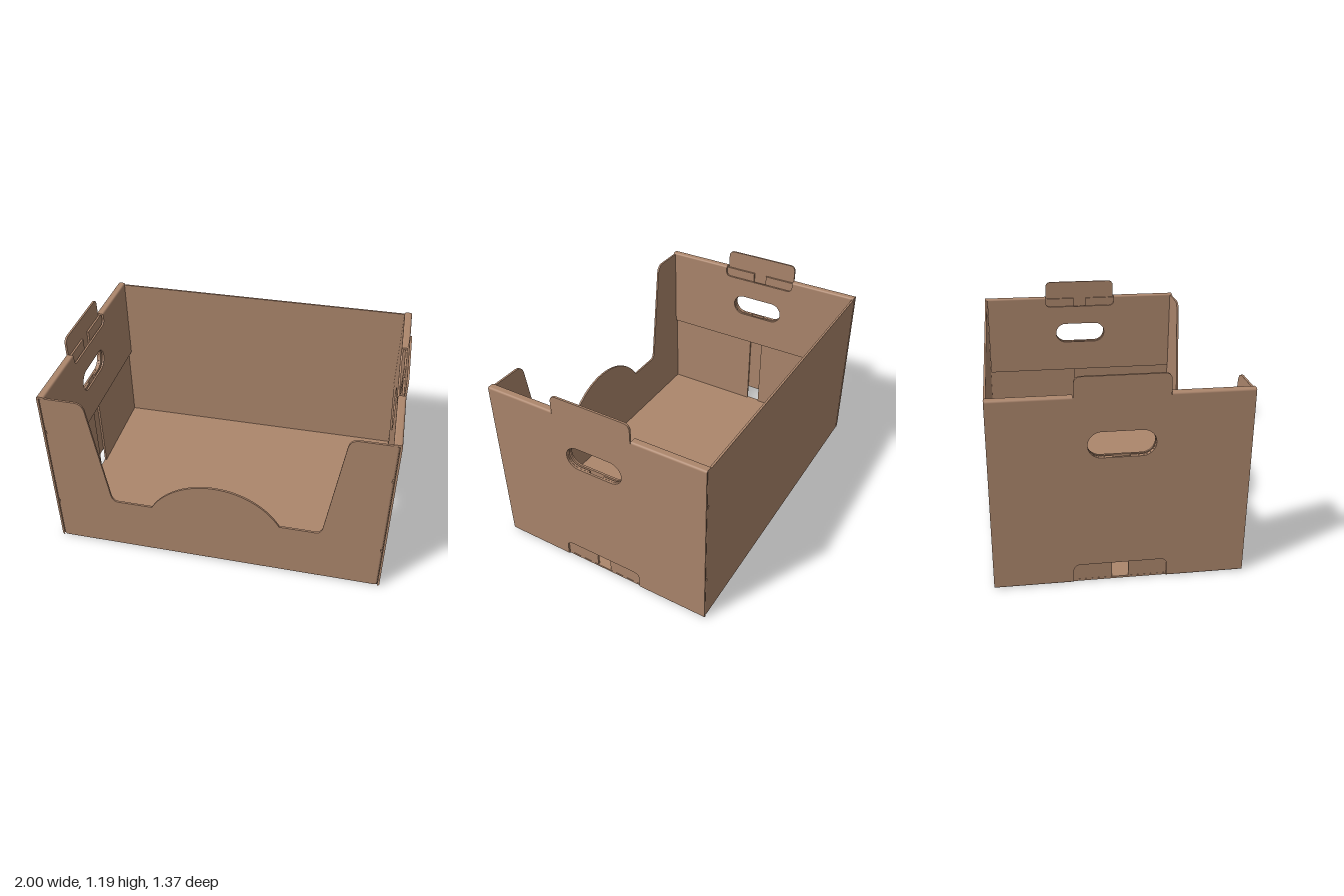
import * as THREE from 'three';

const T = 0.012;              // board thickness
const Q = Math.PI / 2;
const card = new THREE.MeshStandardMaterial({ color: 0xac866c });
card.name = 'brown cardboard';

function add(group, name, geometry, x = 0, y = 0, z = 0) {
  const mesh = new THREE.Mesh(geometry, card);
  mesh.name = name;
  mesh.position.set(x, y, z);
  group.add(mesh);
  return mesh;
}

// flat board cut from an outline, one thickness deep
const board = (shape) => new THREE.ExtrudeGeometry(shape, { depth: T, bevelEnabled: false, curveSegments: 14 });

// board standing in the side wall: its face points along x, its width runs along z
const sideBoard = (shape) => board(shape).rotateY(Q);

// quarter-round fold along an axis
function fold(axis, length, quarter) {
  const g = new THREE.CylinderGeometry(T, T, length, 5, 1, false, quarter * Q, Q);
  if (axis === 'x') g.rotateZ(Q);
  if (axis === 'z') g.rotateX(Q);
  return g;
}

// rounded hand hole
function handHole(y0, y1, w) {
  const p = new THREE.Path(), r = (y1 - y0) / 2, c = (y0 + y1) / 2;
  p.moveTo(-w + r, y0);
  p.lineTo(w - r, y0);
  p.absarc(w - r, c, r, -Q, Q, false);
  p.lineTo(-w + r, y1);
  p.absarc(-w + r, c, r, Q, 3 * Q, false);
  return p;
}

// outer side panel with a foot notch below and a stacking tab above
function outerPanel() {
  const s = new THREE.Shape(), d = 0.685, n = 0.255, t = 0.247, r = 0.04;
  s.moveTo(-d, T);
  s.lineTo(-n, T);
  s.lineTo(-n, 0.11 - r);
  s.quadraticCurveTo(-n, 0.11, -n + r, 0.11);
  s.lineTo(n - r, 0.11);
  s.quadraticCurveTo(n, 0.11, n, 0.11 - r);
  s.lineTo(n, T);
  s.lineTo(d, T);
  s.lineTo(d, 1.073);
  s.lineTo(t, 1.073);
  s.lineTo(t, 1.19 - r);
  s.quadraticCurveTo(t, 1.19, t - r, 1.19);
  s.lineTo(-t + r, 1.19);
  s.quadraticCurveTo(-t, 1.19, -t, 1.19 - r);
  s.lineTo(-t, 1.073);
  s.lineTo(-d, 1.073);
  s.closePath();
  s.holes.push(handHole(0.745, 0.89, 0.178));
  return s;
}

// inner panel folded down from the rim, cut away where the tab was
function innerPanel() {
  const s = new THREE.Shape(), d = 0.67, t = 0.25, r = 0.035, top = 1.073, low = 1.015;
  s.moveTo(-d, 0.53);
  s.lineTo(d, 0.53);
  s.lineTo(d, top);
  s.lineTo(t, top);
  s.lineTo(t, low + r);
  s.quadraticCurveTo(t, low, t - r, low);
  s.lineTo(-t + r, low);
  s.quadraticCurveTo(-t, low, -t, low + r);
  s.lineTo(-t, top);
  s.lineTo(-d, top);
  s.closePath();
  s.holes.push(handHole(0.745, 0.885, 0.178));
  return s;
}

// corner flap between the side layers, notched for the hand hole
function cornerFlap(m) {
  const s = new THREE.Shape(), e = 0.045, w = 0.178, r = 0.0725;
  s.moveTo(m * 0.673, T);
  s.lineTo(m * e, T);
  s.lineTo(m * e, 0.745);
  for (let i = 0; i <= 12; i++) {
    const a = -Q + (i / 12) * Math.PI;
    s.lineTo(m * (w - r + r * Math.cos(a)), 0.8175 + r * Math.sin(a));
  }
  s.lineTo(m * e, 0.89);
  s.lineTo(m * e, 1.07);
  s.lineTo(m * 0.673, 1.07);
  s.closePath();
  return s;
}

// front panel with display cutout and arched middle
function frontPanel() {
  const s = new THREE.Shape(), w = 0.975, top = 1.075, low = 0.362, a = 0.385, R = 0.444;
  const cy = 0.585 - R, t = Math.atan2(low - cy, a);
  s.moveTo(-w, T);
  s.lineTo(w, T);
  s.lineTo(w, top);
  s.lineTo(0.785, top);
  s.quadraticCurveTo(0.733, top, 0.725, 1.02);
  s.lineTo(0.637, 0.41);
  s.quadraticCurveTo(0.63, low, 0.595, low);
  s.lineTo(a, low);
  s.absarc(0, cy, R, t, Math.PI - t, false);
  s.lineTo(-0.595, low);
  s.quadraticCurveTo(-0.63, low, -0.637, 0.41);
  s.lineTo(-0.725, 1.02);
  s.quadraticCurveTo(-0.733, top, -0.785, top);
  s.lineTo(-w, top);
  s.closePath();
  return s;
}

function sideWall() {
  const g = new THREE.Group();
  add(g, 'outerSidePanel', sideBoard(outerPanel()), 1 - T);
  add(g, 'innerSidePanel', sideBoard(innerPanel()), 0.953);
  for (const m of [-1, 1]) {
    add(g, 'cornerFlap', sideBoard(cornerFlap(m)), 0.975);

    // rim strip and its two folds
    const rimZ = m * 0.467, rimL = 0.436;
    add(g, 'rimStrip', new THREE.BoxGeometry(0.023, T, rimL), 0.9765, 1.079, rimZ);
    add(g, 'rimOuterFold', fold('z', rimL, 1), 0.988, 1.073, rimZ);
    add(g, 'rimInnerFold', fold('z', rimL, 2), 0.965, 1.073, rimZ);

    // fold from floor to outer panel
    add(g, 'bottomSideFold', fold('z', 0.43, 0), 0.988, T, m * 0.47);

    // corner folds, broken by two short slits
    for (const [y0, y1] of [[T, 0.29], [0.31, 0.825], [0.845, 1.07]]) {
      add(g, 'cornerFold', fold('y', y1 - y0, m > 0 ? 0 : 1), 0.975, (y0 + y1) / 2, m * 0.673);
    }
  }
  return g;
}

export function createModel() {
  const model = new THREE.Group();
  model.name = 'cardboardTray';

  add(model, 'floor', new THREE.BoxGeometry(1.976, T, 1.346), 0, T / 2, 0);
  add(model, 'frontPanel', board(frontPanel()), 0, 0, 0.673);
  add(model, 'backPanel', new THREE.BoxGeometry(1.95, 1.075 - T, T), 0, (1.075 + T) / 2, -0.679);
  add(model, 'frontBottomFold', fold('x', 1.95, 3), 0, T, 0.673);
  add(model, 'backBottomFold', fold('x', 1.95, 2), 0, T, -0.673);

  const left = sideWall();
  left.name = 'leftSideWall';
  const right = sideWall();
  right.name = 'rightSideWall';
  right.rotation.y = Math.PI;
  model.add(left, right);
  return model;
}
